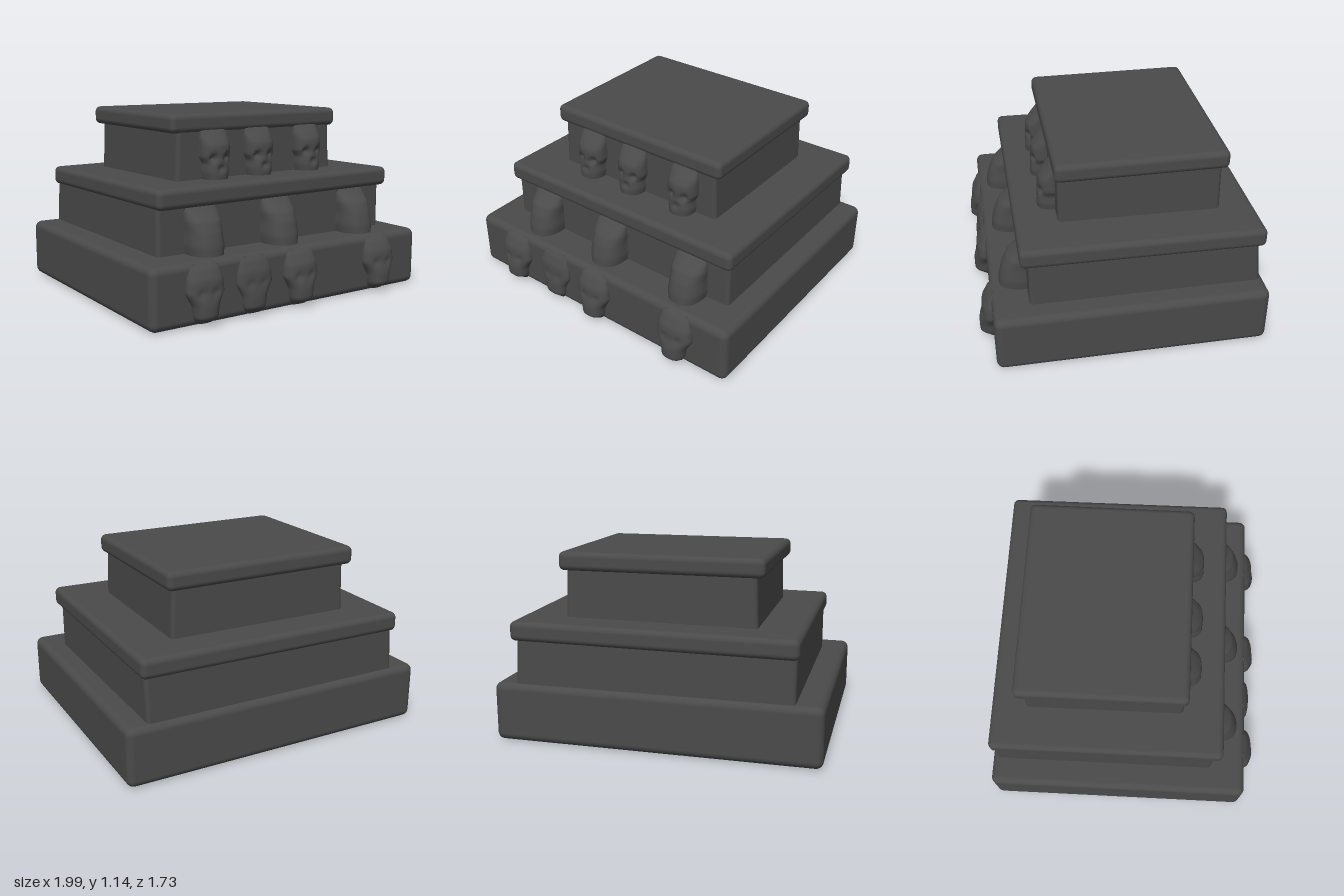
import * as THREE from 'three';
import { RoundedBoxGeometry } from 'three/addons/geometries/RoundedBoxGeometry.js';

const stone = new THREE.MeshStandardMaterial({ color: 0x4a4a4a });
stone.name = 'dark stone';

// Rounded block between limits; warp(p) optionally moves its points
function block(name, [x0, x1], [y0, y1], [z0, z1], radius, warp) {
  const geo = new RoundedBoxGeometry(x1 - x0, y1 - y0, z1 - z0, 3, radius);
  geo.translate((x0 + x1) / 2, (y0 + y1) / 2, (z0 + z1) / 2);
  if (warp) {
    const pos = geo.attributes.position, p = new THREE.Vector3();
    for (let i = 0; i < pos.count; i++) {
      warp(p.fromBufferAttribute(pos, i));
      pos.setXYZ(i, p.x, p.y, p.z);
    }
  }
  const mesh = new THREE.Mesh(geo, stone);
  mesh.name = name;
  return mesh;
}

// Worn carving swelling out of a wall. rows: [height, half width, depth];
// dents: [x, y, radius, amount], negative amounts raise a bump
function carving(name, x, wallZ, rows, dents = [], scale = 1) {
  const U = 20, V = 28, verts = [], index = [];
  for (let j = 0; j <= V; j++) {
    const f = j / V * (rows.length - 1);
    const k = Math.min(Math.floor(f), rows.length - 2);
    const [y, w, d] = rows[k].map((a, c) => THREE.MathUtils.lerp(a, rows[k + 1][c], f - k));
    for (let i = 0; i <= U; i++) {
      const a = Math.PI * (1 - i / U);
      const px = Math.sign(Math.cos(a)) * Math.abs(Math.cos(a)) ** 0.8 * w;
      let pz = Math.sin(a) ** 0.8 * d * scale;
      for (const [dx, dy, r, amount] of dents) {
        pz -= amount * scale * Math.exp(-((px - dx) ** 2 + (y - dy) ** 2) / (r * r));
      }
      verts.push(x + px, y, wallZ + (i % U ? pz : -0.03));
      if (i < U && j < V) {
        const n = j * (U + 1) + i, m = n + U + 1;
        index.push(n, n + 1, m + 1, n, m + 1, m);
      }
    }
  }
  const geo = new THREE.BufferGeometry();
  geo.setAttribute('position', new THREE.Float32BufferAttribute(verts, 3));
  geo.setIndex(index);
  geo.computeVertexNormals();
  const mesh = new THREE.Mesh(geo, stone);
  mesh.name = name;
  return mesh;
}

export function createModel() {
  const group = new THREE.Group();
  group.name = 'steppedShrine';

  // Three stacked tiers: base, then walls with overhanging slabs
  group.add(
    block('baseTier', [-0.995, 0.995], [0.005, 0.368], [-0.868, 0.785], 0.045),
    block('middleWall', [-0.83, 0.86], [0.33, 0.7], [-0.84, 0.565], 0.025, (p) => {
      if (p.z < 0) p.z += (p.y - 0.33) * 0.1;
    }),
    block('middleSlab', [-0.845, 0.89], [0.632, 0.752], [-0.848, 0.612], 0.035, (p) => {
      p.y += p.x * 0.006 + p.z * 0.012;
    }),
    block('upperWall', [-0.575, 0.61], [0.7, 1.1], [-0.63, 0.355], 0.025, (p) => {
      p.x *= 1 - (p.y - 0.75) * 0.06;
    }),
    block('upperSlab', [-0.615, 0.64], [1.035, 1.15], [-0.667, 0.372], 0.035),
  );

  // Upper heads: domed brow, hollow eyes, narrow jaw
  const head = [[0.74, 0.075, 0.1], [0.8, 0.085, 0.105], [0.85, 0.08, 0.1], [0.89, 0.1, 0.1],
    [0.96, 0.1, 0.09], [1.0, 0.1, 0.06], [1.05, 0.09, 0.01]];
  const face = [[-0.045, 0.885, 0.022, 0.035], [0.045, 0.885, 0.022, 0.035], [0, 0.82, 0.02, 0.02]];
  for (const x of [-0.32, 0.005, 0.39]) group.add(carving('upperHead', x, 0.355, head, face));

  // Middle buttress figures
  const figure = [[0.35, 0.105, 0.165], [0.42, 0.115, 0.16], [0.5, 0.11, 0.14],
    [0.56, 0.115, 0.11], [0.61, 0.11, 0.05], [0.65, 0.09, 0.01]];
  for (const x of [-0.545, -0.005, 0.6]) group.add(carving('middleFigure', x, 0.565, figure));

  // Worn base figures, one nearly flat
  const mask = [[0.02, 0.05, 0.02], [0.06, 0.075, 0.085], [0.13, 0.085, 0.085], [0.2, 0.125, 0.07],
    [0.27, 0.12, 0.06], [0.33, 0.1, 0.025], [0.36, 0.07, -0.01]];
  const hollows = [[-0.045, 0.2, 0.022, 0.015], [0.045, 0.2, 0.022, 0.015]];
  for (const [x, s] of [[-0.66, 0.95], [-0.32, 0.65], [0.015, 1], [0.645, 1]]) {
    group.add(carving('baseFigure', x, 0.78, mask, hollows, s));
  }
  return group;
}
